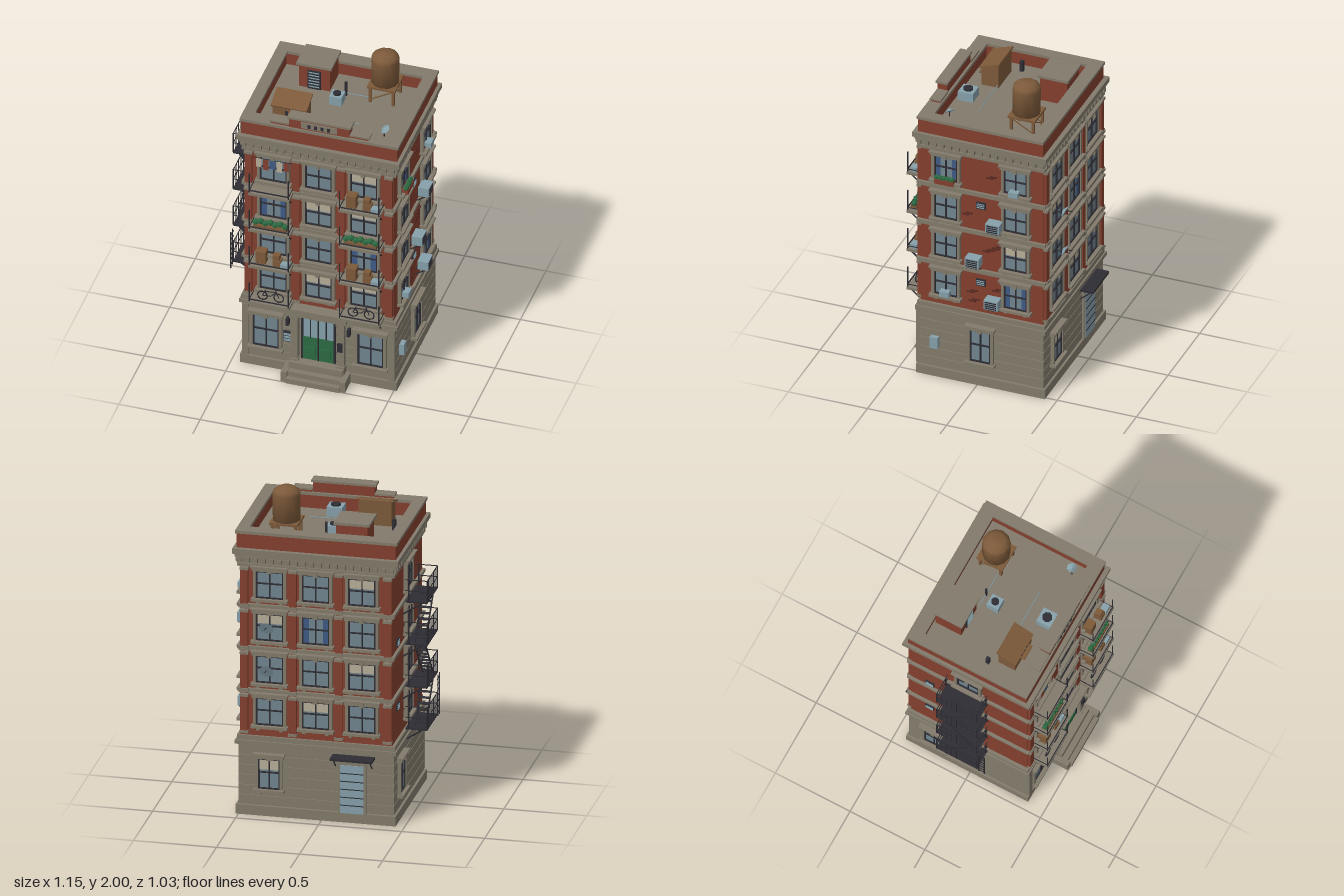
import * as THREE from 'three';

const mat = (name, color) => {
  const m = new THREE.MeshStandardMaterial({ color });
  m.name = name;
  return m;
};

export function createModel() {
  const brick = mat('brick', 0x84402f), stone = mat('stone', 0x827b6c), glass = mat('glass', 0x70858f),
    metal = mat('pale metal', 0x86a0aa), wood = mat('wood', 0x7d5a3a), iron = mat('dark iron', 0x2e2d34),
    green = mat('green', 0x2c6a42), cream = mat('cream', 0xb8ae98), blue = mat('blue cloth', 0x3f5a85),
    darkBrick = mat('dark brick', 0x5a2a22);
  const W = 0.457, D = 0.388; // half width and depth of the brick walls
  const floors = [0.515, 0.78, 1.045, 1.31];
  const model = new THREE.Group();
  model.name = 'apartmentBuilding';
  const root = new THREE.Group();
  root.name = 'building';
  root.position.set(0.035, 0, -0.02);
  model.add(root);

  const add = (p, name, geo, m, x, y, z) => {
    const o = new THREE.Mesh(geo, m);
    o.name = name;
    o.position.set(x, y, z);
    p.add(o);
    return o;
  };
  const box = (p, name, m, w, h, d, x, y, z) => add(p, name, new THREE.BoxGeometry(w, h, d), m, x, y, z);
  // full-plan layer between two heights
  const layer = (name, m, hw, hd, y0, y1) => box(root, name, m, hw * 2, y1 - y0, hd * 2, 0, (y0 + y1) / 2, 0);
  const beam = (p, name, m, a, b, r = 0.004, sides = 5) => {
    const A = new THREE.Vector3(...a), B = new THREE.Vector3(...b);
    const o = add(p, name, new THREE.CylinderGeometry(r, r, A.distanceTo(B), sides), m, 0, 0, 0);
    o.position.copy(A).lerp(B, 0.5);
    o.quaternion.setFromUnitVectors(new THREE.Vector3(0, 1, 0), B.sub(A).normalize());
    return o;
  };
  const group = (p, name, x, y, z, ry = 0) => {
    const g = new THREE.Group();
    g.name = name;
    g.position.set(x, y, z);
    g.rotation.y = ry;
    p.add(g);
    return g;
  };
  // one group per facade: x runs along the wall, z = 0 is the brick face
  const front = group(root, 'frontFacade', 0, 0, D), back = group(root, 'backFacade', 0, 0, -D, Math.PI);
  const leftSide = group(root, 'leftFacade', W, 0, 0, Math.PI / 2);
  const rightSide = group(root, 'rightFacade', -W, 0, 0, -Math.PI / 2);

  // Walls, stone base with courses, belts and cornice
  layer('plinth', stone, 0.482, 0.408, 0, 0.06);
  layer('baseCore', stone, 0.462, 0.389, 0.06, 0.44);
  for (let i = 0; i < 6; i++) layer('baseCourse', stone, 0.468, 0.395, 0.062 + i * 0.063, 0.12 + i * 0.063);
  layer('baseLedge', stone, 0.486, 0.412, 0.44, 0.465);
  layer('baseLedgeTop', stone, 0.476, 0.402, 0.465, 0.495);
  layer('brickWalls', brick, W, D, 0.495, 1.56);
  floors.slice(1).forEach(y => {
    layer('beltCourse', stone, W + 0.017, D + 0.017, y - 0.008, y + 0.012);
    layer('beltLower', stone, W + 0.009, D + 0.009, y - 0.02, y - 0.008);
  });
  layer('architrave', stone, W + 0.018, D + 0.016, 1.555, 1.575);
  layer('frieze', stone, W + 0.008, D + 0.008, 1.575, 1.632);
  layer('corniceBed', stone, 0.488, 0.413, 1.615, 1.635);
  layer('cornice', stone, 0.5, 0.424, 1.635, 1.667);
  for (const [f, half] of [[front, W], [back, W], [leftSide, D], [rightSide, D]]) {
    const n = Math.round(half * 2 / 0.048);
    for (let i = 0; i <= n; i++) box(f, 'dentil', stone, 0.022, 0.03, 0.026, -half + i * 2 * half / n, 1.598, 0.014);
  }

  // Parapet and roof
  layer('roofDeck', stone, 0.46, 0.37, 1.66, 1.672);
  for (const s of [-1, 1]) {
    box(root, 'parapet', brick, 0.96, 0.09, 0.07, 0, 1.711, s * 0.36);
    box(root, 'parapet', brick, 0.055, 0.09, 0.66, s * 0.4525, 1.711, 0);
    box(root, 'parapetCap', stone, 0.976, 0.018, 0.085, 0, 1.764, s * 0.3575);
    box(root, 'parapetCap', stone, 0.071, 0.018, 0.63, s * 0.4525, 1.764, 0);
    box(root, 'pedimentStep', brick, 0.11, 0.016, 0.06, s * 0.245, 1.78, 0.355);
    box(root, 'pedimentStepCap', stone, 0.12, 0.01, 0.07, s * 0.247, 1.79, 0.355);
  }
  box(root, 'pediment', brick, 0.37, 0.07, 0.06, 0, 1.802, 0.36);
  box(root, 'pedimentCap', stone, 0.39, 0.014, 0.075, 0, 1.842, 0.36);
  box(root, 'pedimentPanel', stone, 0.22, 0.04, 0.009, 0, 1.805, 0.393);
  for (let i = 0; i < 4; i++) box(root, 'pedimentSlot', iron, 0.018, 0.024, 0.004, -0.06 + i * 0.04, 1.805, 0.399);

  // Windows: surround, panes, bars and dressing
  function windowUnit(f, x, y, w, h, kind, z = 0) {
    const g = group(f, 'window', x, y, z);
    box(g, 'pane', glass, w, h, 0.008, 0, h / 2, 0.003);
    if (kind === 'blind' || kind === 'both') box(g, 'blind', cream, w - 0.01, h * 0.36, 0.004, 0, h * 0.81, 0.008);
    for (const s of [-1, 1]) {
      if (kind === 'curtain') box(g, 'curtain', blue, w * 0.24, h, 0.004, s * w * 0.37, h / 2, 0.008);
      box(g, 'frameSide', iron, 0.008, h, 0.016, s * (w / 2 - 0.004), h / 2, 0.008);
      box(g, 'surround', stone, 0.017, h + 0.01, 0.026, s * (w / 2 + 0.0085), h / 2, 0.009);
      box(g, 'sillBracket', stone, 0.02, 0.016, 0.026, s * w * 0.42, -0.024, 0.012);
      box(g, 'frameRail', iron, w, 0.008, 0.016, 0, h / 2 + s * (h / 2 - 0.004), 0.008);
    }
    box(g, 'mullion', iron, 0.007, h, 0.015, 0, h / 2, 0.008);
    box(g, 'transom', iron, w, 0.008, 0.016, 0, h * 0.55, 0.008);
    box(g, 'lintel', stone, w + 0.046, 0.022, 0.034, 0, h + 0.012, 0.012);
    box(g, 'lintelCap', stone, w + 0.06, 0.01, 0.044, 0, h + 0.027, 0.017);
    box(g, 'keystone', stone, 0.026, 0.034, 0.042, 0, h + 0.012, 0.017);
    box(g, 'sill', stone, w + 0.056, 0.016, 0.046, 0, -0.008, 0.018);
  }
  const P = 'plain', B = 'blind', C = 'curtain';
  const dressing = {
    front: [[P, B, B], [P, P, C], [C, B, B], [P, P, B]],
    back: [[P, B, P], [P, P, B], [B, C, P], [P, P, B]],
    left: [[P, C], [P, B], [P, P], [C, P]],
  };
  const cols = [-0.278, 0, 0.278];
  floors.forEach((y, i) => {
    cols.forEach((x, j) => {
      windowUnit(front, x, y + 0.052, 0.165, 0.17, dressing.front[i][j]);
      windowUnit(back, x, y + 0.052, 0.165, 0.17, dressing.back[i][j]);
    });
    [-0.222, 0.218].forEach((x, j) => windowUnit(leftSide, x, y + 0.052, 0.145, 0.16, dressing.left[i][j]));
    windowUnit(rightSide, 0, y + 0.052, 0.145, 0.16, i % 2 ? P : B);
    // brick pilasters with stone caps
    for (const f of [front, back]) for (const x of [-0.432, -0.139, 0.139, 0.432]) {
      box(f, 'pilaster', brick, 0.044, 0.235, 0.02, x, y + 0.122, 0.01);
      box(f, 'pilasterCap', stone, 0.052, 0.016, 0.028, x, y + 0.232, 0.012);
      box(f, 'pilasterFoot', stone, 0.052, 0.016, 0.028, x, y + 0.004, 0.012);
    }
  });
  for (const s of [-1, 1]) windowUnit(front, s * 0.322, 0.15, 0.16, 0.225, P, 0.007);
  windowUnit(back, -0.28, 0.17, 0.13, 0.19, B, 0.007);
  windowUnit(leftSide, 0, 0.16, 0.13, 0.215, P, 0.011);
  windowUnit(rightSide, -0.22, 0.16, 0.13, 0.2, P, 0.011);

  // Front entrance with steps
  for (const s of [-1, 1]) {
    box(front, 'entrancePier', stone, 0.044, 0.37, 0.04, s * 0.142, 0.245, 0.022);
    box(front, 'pierFoot', stone, 0.054, 0.06, 0.052, s * 0.142, 0.09, 0.026);
    box(front, 'pierCap', stone, 0.054, 0.022, 0.052, s * 0.142, 0.425, 0.026);
    box(front, 'doorJamb', iron, 0.012, 0.31, 0.026, s * 0.1, 0.27, 0.012);
    box(front, 'doorLeaf', green, 0.094, 0.16, 0.02, s * 0.048, 0.195, 0.012);
    box(front, 'doorPanel', green, 0.06, 0.06, 0.008, s * 0.048, 0.175, 0.025);
    box(front, 'doorGlass', metal, 0.094, 0.15, 0.012, s * 0.048, 0.35, 0.01);
    box(front, 'doorBar', iron, 0.006, 0.15, 0.018, s * 0.048, 0.35, 0.011);
    box(front, 'stepCheek', stone, 0.035, 0.07, 0.12, s * 0.18, 0.035, 0.07);
    box(front, 'wallLamp', iron, 0.018, 0.05, 0.03, s * 0.188, 0.365, 0.022);
    box(front, 'cornerPier', stone, 0.04, 0.37, 0.018, s * 0.45, 0.25, 0.014);
  }
  box(front, 'doorBar', iron, 0.008, 0.31, 0.026, 0, 0.27, 0.012);
  box(front, 'entablature', stone, 0.36, 0.05, 0.055, 0, 0.458, 0.028);
  box(front, 'entranceCornice', stone, 0.39, 0.014, 0.075, 0, 0.488, 0.036);
  [[0.033, 0.14], [0.066, 0.11], [0.11, 0.075]].forEach(([h, d]) => box(front, 'step', stone, 0.33, h, d, 0, h / 2, d / 2));
  box(front, 'letterBoxes', iron, 0.06, 0.065, 0.02, -0.185, 0.255, 0.02);
  for (let i = 0; i < 3; i++) box(front, 'letterFlap', metal, 0.05, 0.012, 0.006, -0.185, 0.235 + i * 0.02, 0.032);
  box(front, 'doorPhone', iron, 0.03, 0.06, 0.012, 0.142, 0.26, 0.048);

  // Rear service door and canopy
  box(back, 'serviceDoorFrame', stone, 0.17, 0.32, 0.03, 0.22, 0.22, 0.008);
  box(back, 'serviceDoor', metal, 0.14, 0.3, 0.03, 0.22, 0.21, 0.012);
  for (let i = 0; i < 5; i++) box(back, 'doorSeam', iron, 0.14, 0.005, 0.004, 0.22, 0.11 + i * 0.05, 0.028);
  box(back, 'canopy', iron, 0.254, 0.014, 0.092, 0.228, 0.413, 0.046);
  for (const s of [-1, 1]) beam(back, 'canopyBrace', iron, [0.228 + s * 0.11, 0.34, 0], [0.228 + s * 0.11, 0.41, 0.08]);
  // Satellite dishes at the rear
  for (const y of [0.93, 1.2]) {
    beam(back, 'dishArm', iron, [-0.285, y - 0.03, 0], [-0.285, y, 0.06]);
    const d = add(back, 'dish', new THREE.ConeGeometry(0.045, 0.02, 8), metal, -0.285, y, 0.062);
    d.rotation.x = -1.1;
    beam(back, 'dishFeed', iron, [-0.285, y, 0.06], [-0.285, y + 0.005, 0.115], 0.003);
  }

  // Balconies and what stands on them
  const leaf = (p, x, y, z, r) => add(p, 'leaves', new THREE.IcosahedronGeometry(r, 0), green, x, y, z);
  floors.forEach((y, i) => [-1, 1].forEach(s => {
    const g = group(front, 'balcony', s * 0.278, y, 0);
    box(g, 'balconySlab', stone, 0.252, 0.018, 0.11, 0, 0, 0.055);
    box(g, 'lowRail', iron, 0.246, 0.006, 0.006, 0, 0.025, 0.106);
    for (const t of [-1, 1]) {
      beam(g, 'balconyPost', iron, [t * 0.12, 0, 0.105], [t * 0.12, 0.145, 0.105]);
      beam(g, 'balconyBrace', iron, [t * 0.105, -0.085, 0.006], [t * 0.105, -0.01, 0.095], 0.005);
      beam(g, 'sideRail', iron, [t * 0.12, 0.025, 0], [t * 0.12, 0.025, 0.105], 0.003);
    }
    if (i === 0) { // bicycle
      for (const t of [-1, 1]) add(g, 'bicycleWheel', new THREE.TorusGeometry(0.03, 0.004, 5, 12), iron, t * 0.05, 0.042, 0.07);
      [[-0.05, 0.042, 0, 0.045], [-0.03, 0.075, 0.035, 0.08], [0, 0.045, 0.035, 0.08], [0.05, 0.042, 0.03, 0.095], [-0.05, 0.042, -0.03, 0.085]]
        .forEach(([a, b, c, d]) => beam(g, 'bicycleFrame', iron, [a, b, 0.07], [c, d, 0.07], 0.003));
    } else if (i === 2) { // planters
      box(g, 'planter', wood, 0.2, 0.026, 0.035, 0, 0.022, 0.075);
      for (let k = 0; k < 7; k++) leaf(g, -0.09 + k * 0.03, 0.045 + (k % 2) * 0.012, 0.075, 0.021);
    } else if (i === 1 || s > 0) { // stacked crates
      box(g, 'crate', wood, 0.06, 0.085, 0.055, -0.06, 0.052, 0.05);
      box(g, 'crate', wood, 0.05, 0.045, 0.05, 0.04, 0.032, 0.06);
      box(g, 'crate', wood, 0.04, 0.035, 0.04, 0.035, 0.072, 0.06);
      box(g, 'coolBox', metal, 0.05, 0.03, 0.04, 0.09, 0.024, 0.07);
    } else { // washing line
      beam(g, 'washingLine', iron, [-0.12, 0.215, 0.03], [0.12, 0.215, 0.03], 0.002);
      [cream, brick, blue, cream, brick].forEach((m, k) =>
        box(g, 'laundry', m, 0.034, 0.06 + (k % 2) * 0.015, 0.004, -0.085 + k * 0.042, 0.182 - (k % 2) * 0.007, 0.03));
    }
  }));

  // Left wall: air conditioners, vents, flower box and worn bricks
  [[0.095, 1.13], [-0.035, 0.865], [0.085, 0.6]].forEach(([x, y]) => {
    box(leftSide, 'airConditioner', metal, 0.088, 0.06, 0.066, x, y, 0.045);
    box(leftSide, 'airConditionerShelf', iron, 0.07, 0.008, 0.07, x, y - 0.034, 0.036);
    for (let k = 0; k < 4; k++) box(leftSide, 'grilleBar', iron, 0.07, 0.007, 0.004, x, y - 0.02 + k * 0.013, 0.079);
    for (const t of [-1, 1]) beam(leftSide, 'shelfBrace', iron, [x + t * 0.03, y - 0.075, 0], [x + t * 0.03, y - 0.035, 0.06]);
  });
  const vent = (f, x, y) => {
    box(f, 'vent', iron, 0.06, 0.045, 0.01, x, y, 0.004);
    for (let k = 0; k < 3; k++) box(f, 'ventSlat', metal, 0.05, 0.005, 0.006, x, y - 0.012 + k * 0.012, 0.01);
  };
  [[leftSide, -0.005, 1.23], [leftSide, -0.005, 0.7], [rightSide, -0.26, 1.1], [rightSide, -0.26, 0.7]].forEach(a => vent(...a));
  [[0.05, 1.43], [0.07, 0.94], [0.03, 0.92], [0.09, 0.955], [-0.07, 0.62], [-0.1, 1.15], [0.09, 0.66], [-0.06, 0.56]].forEach(([x, y]) => {
    for (const f of [leftSide, rightSide]) {
      box(f, 'wornBrick', darkBrick, 0.045, 0.01, 0.006, x, y, 0.002);
      box(f, 'wornBrick', darkBrick, 0.045, 0.01, 0.006, x + 0.022, y + 0.013, 0.002);
    }
  });
  box(leftSide, 'flowerBox', brick, 0.12, 0.03, 0.04, -0.222, 1.365, 0.035);
  for (let k = 0; k < 5; k++) leaf(leftSide, -0.27 + k * 0.024, 1.388, 0.038, 0.018);
  for (const [x, y] of [[0.215, 1.375], [-0.222, 0.59]]) box(leftSide, 'windowCooler', metal, 0.06, 0.035, 0.04, x, y, 0.03);
  box(leftSide, 'meterBox', metal, 0.05, 0.075, 0.03, -0.29, 0.235, 0.025);

  // Fire escape
  const fire = group(rightSide, 'fireEscape', 0, 0, 0);
  const out = 0.152;
  floors.forEach((y, i) => {
    box(fire, 'landing', iron, 0.272, 0.01, 0.13, 0, y, 0.087);
    for (const s of [-1, 1]) {
      for (const z of [0.04, out]) beam(fire, 'railPost', iron, [s * 0.133, y, z], [s * 0.133, y + 0.14, z]);
      beam(fire, 'landingBrace', iron, [s * 0.12, y - 0.085, 0], [s * 0.12, y, 0.13], 0.005);
      for (const h of [0.07, 0.138]) beam(fire, 'sideRail', iron, [s * 0.133, y + h, 0.02], [s * 0.133, y + h, out], 0.003);
    }
    for (const h of [0.07, 0.138]) beam(fire, 'outerRail', iron, [-0.133, y + h, out], [0.133, y + h, out], 0.003);
    for (let k = 1; k < 8; k++) beam(fire, 'baluster', iron, [-0.133 + k * 0.033, y, out], [-0.133 + k * 0.033, y + 0.138, out], 0.002, 4);
    if (i === 3) return;
    const s = i % 2 ? -1 : 1;
    for (const z of [0.07, 0.135]) beam(fire, 'stairString', iron, [-s * 0.11, y, z], [s * 0.11, y + 0.265, z], 0.005);
    for (let k = 1; k < 9; k++) box(fire, 'stairTread', iron, 0.026, 0.005, 0.065, s * (-0.11 + k * 0.0245), y + k * 0.0294, 0.1025);
  });
  for (const u of [0.148, 0.185]) beam(fire, 'ladderRail', iron, [u, 0.5, out], [u, 0.76, out]);
  for (let k = 0; k < 7; k++) beam(fire, 'ladderRung', iron, [0.13, 0.52 + k * 0.036, out], [0.185, 0.52 + k * 0.036, out], 0.003);

  // Water tank on its stand
  const tank = group(root, 'waterTank', 0.225, 0, -0.19);
  const profile = [[0, 1.79], [0.083, 1.79], [0.085, 1.95], [0.077, 1.975], [0.05, 1.993], [0, 2]].map(p => new THREE.Vector2(...p));
  add(tank, 'tankBody', new THREE.LatheGeometry(profile, 12), wood, 0, 0, 0);
  box(tank, 'tankPlatform', wood, 0.174, 0.014, 0.174, 0, 1.783, 0);
  for (const sx of [-1, 1]) {
    for (const sz of [-1, 1]) box(tank, 'tankLeg', wood, 0.016, 0.11, 0.016, sx * 0.07, 1.725, sz * 0.07);
    beam(tank, 'tankBrace', wood, [-0.07, 1.69, sx * 0.07], [0.07, 1.77, sx * 0.07]);
    beam(tank, 'tankBrace', wood, [sx * 0.07, 1.69, -0.07], [sx * 0.07, 1.77, 0.07]);
  }

  // Stair bulkhead
  box(root, 'bulkhead', brick, 0.19, 0.16, 0.17, -0.197, 1.75, -0.228);
  box(root, 'bulkheadRoof', stone, 0.216, 0.016, 0.195, -0.197, 1.838, -0.228);
  box(root, 'bulkheadDoor', iron, 0.08, 0.13, 0.008, -0.197, 1.737, -0.14);
  for (let k = 0; k < 6; k++) box(root, 'doorLouvre', metal, 0.066, 0.006, 0.006, -0.197, 1.69 + k * 0.02, -0.135);

  // Pigeon loft with a sloping roof
  const loft = group(root, 'pigeonLoft', -0.233, 0, 0.185);
  const side = new THREE.Shape([[-0.055, 1.672], [0.055, 1.672], [0.055, 1.825], [-0.055, 1.785]].map(p => new THREE.Vector2(...p)));
  const body = add(loft, 'loftBody', new THREE.ExtrudeGeometry(side, { depth: 0.2, bevelEnabled: false }), wood, -0.1, 0, 0);
  body.rotation.y = Math.PI / 2;
  const loftRoof = box(loft, 'loftRoof', wood, 0.222, 0.01, 0.135, 0, 1.815, 0);
  loftRoof.rotation.x = 0.34;
  box(loft, 'loftPerch', wood, 0.1, 0.008, 0.03, 0.015, 1.73, 0.068);
  for (let k = 0; k < 3; k++) box(loft, 'loftOpening', iron, 0.02, 0.03, 0.006, -0.015 + k * 0.03, 1.752, 0.055);

  // Roof units, pipes, lines and dish
  [[-0.03, -0.058, 0.076], [0.03, 0.257, 0.095]].forEach(([x, z, w]) => {
    box(root, 'roofUnit', metal, w, 0.06, w, x, 1.7, z);
    add(root, 'roofFan', new THREE.CylinderGeometry(w * 0.32, w * 0.32, 0.012, 8), iron, x, 1.735, z);
  });
  box(root, 'ventPipe', iron, 0.022, 0.07, 0.022, -0.363, 1.705, 0.075);
  box(root, 'linePost', iron, 0.012, 0.1, 0.012, 0, 1.72, -0.135);
  beam(root, 'roofPipe', metal, [-0.09, 1.69, -0.135], [0.14, 1.69, -0.135], 0.003);
  beam(root, 'roofPipe', metal, [-0.13, 1.69, 0.135], [0.165, 1.69, 0.135], 0.003);
  beam(root, 'roofDishMast', iron, [0.355, 1.67, 0.245], [0.355, 1.775, 0.245]);
  const dish = add(root, 'roofDish', new THREE.ConeGeometry(0.03, 0.02, 8), metal, 0.355, 1.778, 0.245);
  dish.rotation.set(0.5, 0, 0.5);
  return model;
}
